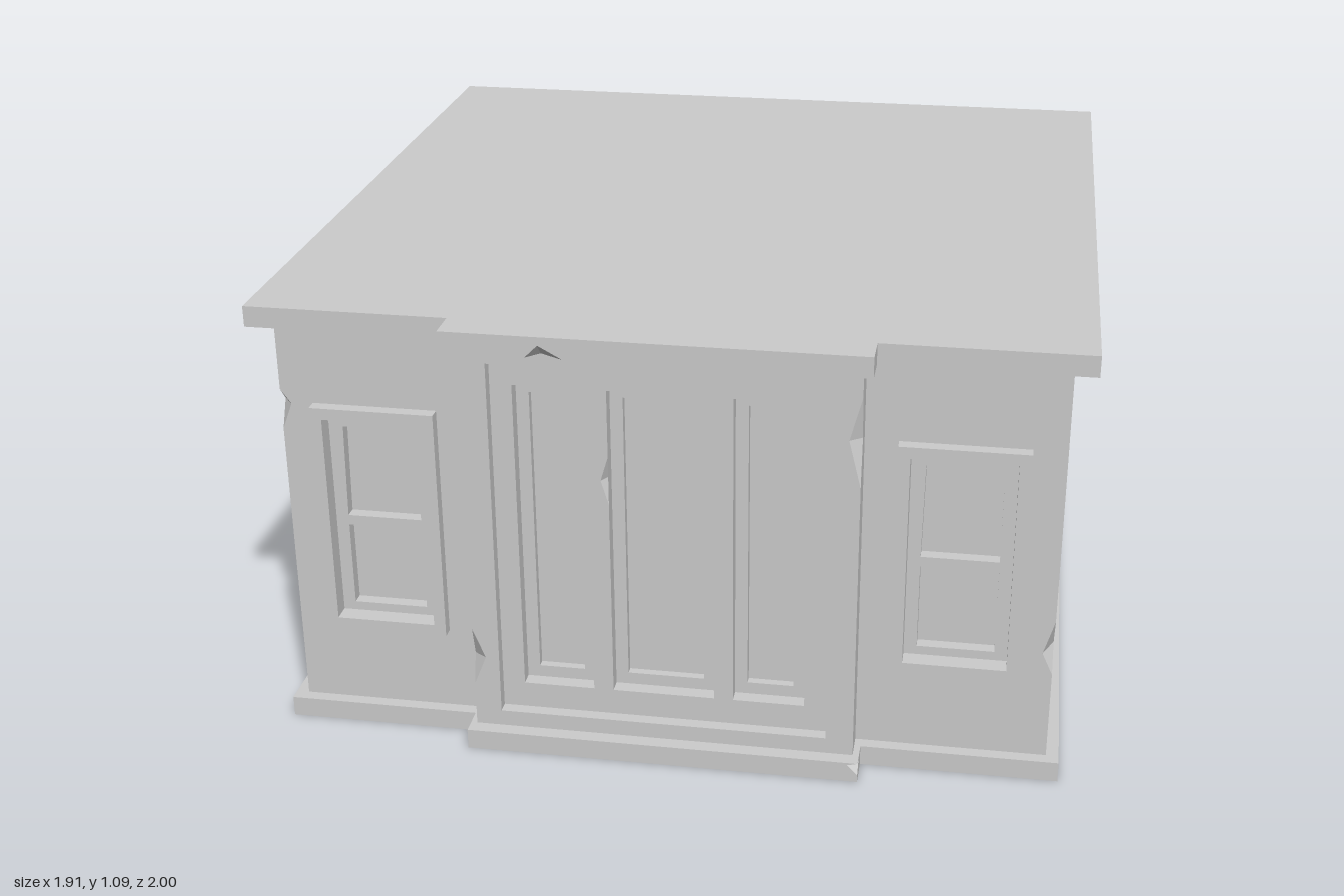
import * as THREE from 'three';
import { mergeGeometries } from 'three/addons/utils/BufferGeometryUtils.js';

const material = new THREE.MeshStandardMaterial({ color: 0xcccccc, flatShading: true });

// Flat polygon with holes; points are [x, y] pairs
function polygon(points, holes = []) {
  const toVectors = (list) => list.map(([x, y]) => new THREE.Vector2(x, y));
  const shape = new THREE.Shape(toVectors(points));
  for (const hole of holes) shape.holes.push(new THREE.Path(toVectors(hole)));
  return new THREE.ShapeGeometry(shape).toNonIndexed().deleteAttribute('uv');
}

// Loose triangles from 3D corners
function triangles(...tris) {
  const geometry = new THREE.BufferGeometry();
  geometry.setAttribute('position', new THREE.Float32BufferAttribute(tris.flat(2), 3));
  geometry.computeVertexNormals();
  return geometry;
}

function mesh(name, parts) {
  const result = new THREE.Mesh(mergeGeometries(parts), material);
  result.name = name;
  return result;
}

// Rectangle corners, counter-clockwise; skew drops the top left corner a little
const rect = (x0, y0, x1, y1, skew = 0) => [[x0, y0], [x1, y0], [x1, y1], [x0 + skew / 2, y1 - skew]];
const inset = (r, d) => {
  const [[x0, y0], , [x1, y1]] = r;
  return rect(x0 + d, y0 + d, x1 - d, y1 - d);
};

// Rings of faces joining successive [rectangle, z] levels
function stepped(levels, capped = true) {
  const tris = [];
  for (let k = 0; k + 1 < levels.length; k++) {
    const [a, b] = [levels[k], levels[k + 1]].map(([r, z]) => r.map(([x, y]) => [x, y, z]));
    for (let i = 0; i < 4; i++) {
      const j = (i + 1) % 4;
      tris.push([a[i], a[j], b[j]], [a[i], b[j], b[i]]);
    }
  }
  const parts = [triangles(...tris)];
  const [last, z] = levels[levels.length - 1];
  if (capped) parts.push(polygon(last).translate(0, 0, z));
  return parts;
}

// Plan outline with the projecting front bay
const outline = (w, back, front, bayW, bayFront) => [
  [-w, front], [-bayW, front], [-bayW, bayFront], [bayW, bayFront],
  [bayW, front], [w, front], [w, back], [-w, back],
];

// Prism over an outline, with holes in front faces, chipped corners and an underside chip
function prism(name, plan, y0, y1, { holes = {}, chips = [], underChip, caps = true } = {}) {
  const parts = [];
  plan.forEach((a, i) => {
    const next = (i + 1) % plan.length;
    const b = plan[next];
    const dir = new THREE.Vector3(b[0] - a[0], 0, b[1] - a[1]);
    const length = dir.length();
    dir.normalize();
    const points = [[0, y0]];
    if (underChip && i === 2) {
      const { from, peak, to, height } = underChip;
      points.push([from - a[0], y0], [peak - a[0], y0 + height], [to - a[0], y0]);
    }
    points.push([length, y0]);
    for (const c of chips) if (c.corner === next) points.push([length, c.low], [length - c.before, c.mid], [length, c.high]);
    points.push([length, y1], [0, y1]);
    for (const c of chips) if (c.corner === i) points.push([0, c.high], [c.after, c.mid], [0, c.low]);
    const cut = (holes[i] || []).map((h) => h.map(([x, y]) => [x - a[0], y]));
    const up = new THREE.Vector3(0, 1, 0);
    const basis = new THREE.Matrix4().makeBasis(dir, up, dir.clone().cross(up)).setPosition(a[0], 0, a[1]);
    parts.push(polygon(points, cut).applyMatrix4(basis));
  });
  // Broken corner facets
  for (const { corner, low, mid, high, before, after } of chips) {
    const n = plan.length;
    const [x, z] = plan[corner];
    const toward = (p, d) => {
      const len = Math.hypot(p[0] - x, p[1] - z);
      return [x + ((p[0] - x) * d) / len, mid, z + ((p[1] - z) * d) / len];
    };
    const f = toward(plan[(corner + n - 1) % n], before);
    const s = toward(plan[(corner + 1) % n], after);
    parts.push(triangles([[x, low, z], s, f], [[x, high, z], f, s]));
  }
  const bottom = [...plan];
  if (underChip) {
    const { from, peak, to, height, depth } = underChip;
    const z = plan[2][1];
    bottom.splice(3, 0, [from, z], [peak, z - depth], [to, z]);
    const p = [peak, y0, z - depth];
    const m = [peak, y0 + height, z];
    parts.push(triangles([[from, y0, z], p, m], [p, [to, y0, z], m]));
  }
  if (caps) {
    parts.push(polygon(plan.map(([x, z]) => [x, -z])).rotateX(-Math.PI / 2).translate(0, y1, 0));
    parts.push(polygon(bottom).rotateX(Math.PI / 2).translate(0, y0, 0));
  }
  return mesh(name, parts);
}

// Framed two-pane window set into the front wall
function windowUnit(name, x) {
  const outer = rect(x - 0.148, 0.26, x + 0.148, 0.84);
  const inner = inset(outer, 0.028);
  const panes = [rect(x - 0.09, 0.31, x + 0.09, 0.52), rect(x - 0.09, 0.545, x + 0.09, 0.785, 0.008)];
  const parts = [
    ...stepped([[outer, 0.875], [outer, 0.905], [inner, 0.905], [inner, 0.86]], false),
    polygon(inner, panes).translate(0, 0, 0.86),
  ];
  for (const pane of panes) parts.push(...stepped([[pane, 0.86], [pane, 0.83]]));
  return mesh(name, parts);
}

// Recessed door with three sunken panels
function door(opening) {
  const z = 0.915;
  const panels = [[-0.34, -0.17], [-0.123, 0.12], [0.165, 0.335]].map(([a, b]) => rect(a, 0.155, b, 0.935));
  const holes = panels.map((p) => [...p]);
  const edge = panels[1][0][0];
  holes[1].push([edge, 0.77], [edge - 0.018, 0.71], [edge, 0.65]);
  const parts = [
    ...stepped([[opening, 0.945], [opening, z]], false),
    polygon(opening, holes).translate(0, 0, z),
  ];
  for (const p of panels) {
    const inner = inset(p, 0.03);
    parts.push(...stepped([[p, z], [p, 0.88], [inner, 0.88], [inner, 0.86]]));
  }
  // Chip on the edge of the middle panel
  const f = [edge - 0.018, 0.71, z];
  const s = [edge, 0.71, z - 0.03];
  parts.push(triangles([[edge, 0.65, z], s, f], [[edge, 0.77, z], f, s]));
  return mesh('door', parts);
}

export function createModel() {
  const group = new THREE.Group();
  group.name = 'building';
  const opening = rect(-0.393, 0.09, 0.39, 1.0, 0.004);
  const windowHole = (x) => rect(x - 0.148, 0.26, x + 0.148, 0.84);
  const windowX = 0.68;

  group.add(
    prism('base', outline(0.935, -0.975, 0.905, 0.47, 0.98), 0, 0.05, {
      chips: [{ corner: 3, low: 0.018, mid: 0.044, high: 0.05, before: 0.025, after: 0.03 }],
    }),
    prism('walls', outline(0.905, -0.945, 0.875, 0.455, 0.945), 0.05, 1.04, {
      caps: false,
      holes: { 0: [windowHole(-windowX)], 2: [opening], 4: [windowHole(windowX)] },
      chips: [
        { corner: 0, low: 0.77, mid: 0.835, high: 0.87, before: 0.03, after: 0.025 },
        { corner: 2, low: 0.16, mid: 0.235, high: 0.31, before: 0.02, after: 0.03 },
        { corner: 3, low: 0.75, mid: 0.865, high: 0.97, before: 0.028, after: 0.022 },
        { corner: 5, low: 0.27, mid: 0.325, high: 0.41, before: 0.025, after: 0.058 },
      ],
    }),
    prism('roof', outline(0.957, -1, 0.92, 0.48, 1), 1.04, 1.09, {
      underChip: { from: -0.285, peak: -0.255, to: -0.2, height: 0.03, depth: 0.03 },
    }),
    door(opening),
    windowUnit('rightWindow', -windowX),
    windowUnit('leftWindow', windowX),
  );
  return group;
}
